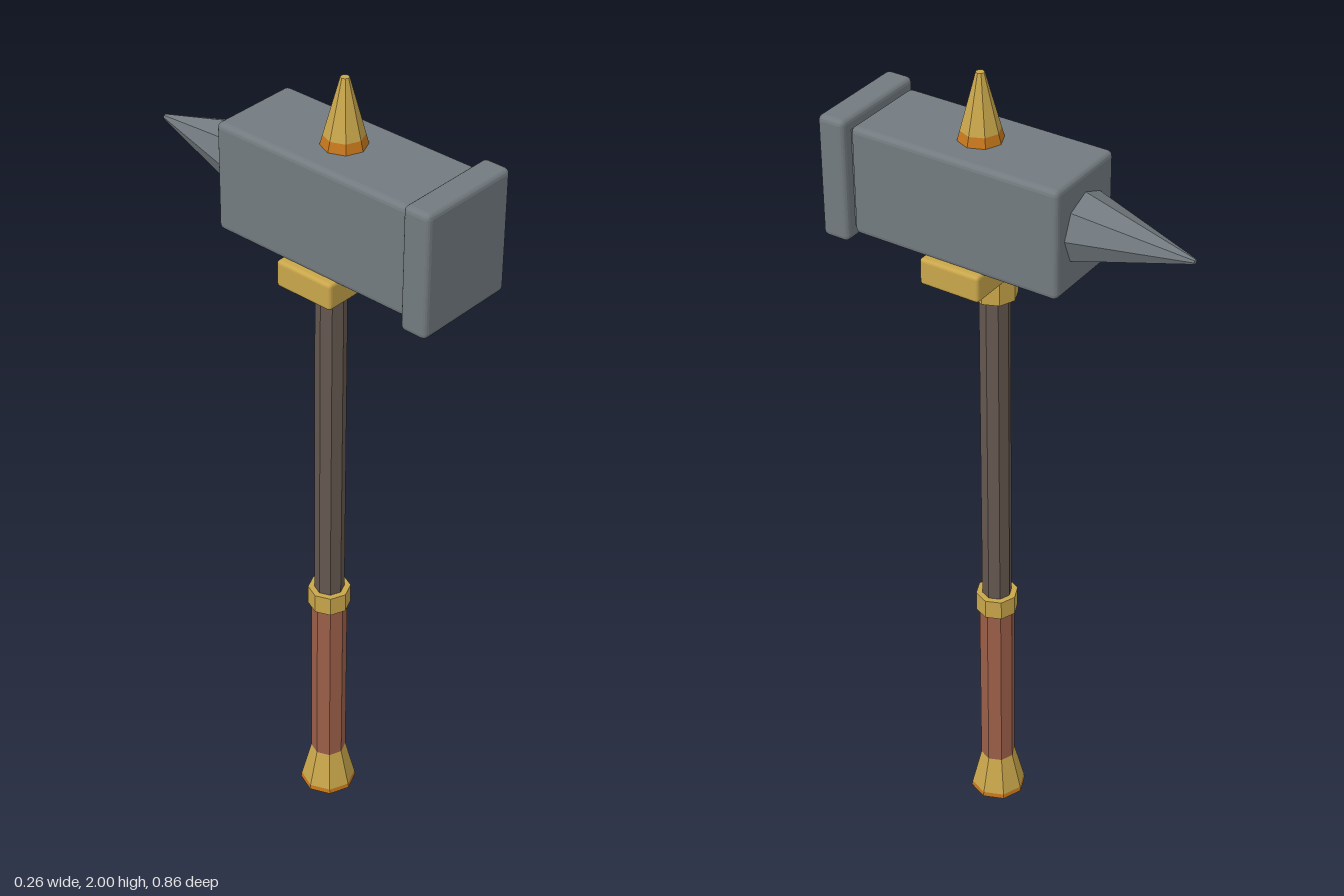
import * as THREE from 'three';
import { RoundedBoxGeometry } from 'three/addons/geometries/RoundedBoxGeometry.js';

const material = (name, color) => {
  const m = new THREE.MeshStandardMaterial({ color, flatShading: true });
  m.name = name;
  return m;
};

export function createModel() {
  const steel = material('steel', 0x737b80);
  const brass = material('brass', 0xc9a64b);
  const amber = material('dark amber', 0xc4761c);
  const wood = material('dark wood', 0x65574f);
  const leather = material('red leather', 0x9c5f49);

  const model = new THREE.Group();
  model.name = 'warHammer';
  const shaftZ = 0.062, headZ = 0.095;

  const add = (name, geometry, mat, x, y, z) => {
    const mesh = new THREE.Mesh(geometry, mat);
    mesh.name = name;
    mesh.position.set(x, y, z);
    model.add(mesh);
    return mesh;
  };
  // Eight-sided upright part between two heights
  const post = (name, y0, y1, r0, r1, mat, z = shaftZ) =>
    add(name, new THREE.CylinderGeometry(r1, r0, y1 - y0, 8), mat, 0, (y0 + y1) / 2, z);
  // Box with softened edges, given by its ranges in y and z
  const block = (name, halfX, y0, y1, z0, z1, bevel, mat) =>
    add(name, new RoundedBoxGeometry(halfX * 2, y1 - y0, z1 - z0, 2, bevel), mat,
      0, (y0 + y1) / 2, (z0 + z1) / 2);

  // Handle, from the pommel upwards
  post('pommelRim', 0, 0.012, 0.069, 0.067, amber);
  post('pommel', 0.012, 0.11, 0.067, 0.043, brass);
  post('grip', 0.1, 0.575, 0.043, 0.043, leather);
  post('shaft', 0.57, 1.5, 0.036, 0.036, wood);
  // Collars have brass sides and an amber underside
  post('lowerCollar', 0.58, 0.63, 0.051, 0.051, [brass, brass, amber]);
  post('upperCollar', 1.47, 1.535, 0.053, 0.053, brass);

  // Bracket under the head
  block('bracket', 0.13, 1.525, 1.59, 0.019, 0.172, 0.008, brass);
  const under = add('bracketUnderside', new THREE.PlaneGeometry(0.246, 0.139), amber, 0, 1.5245, 0.0955);
  under.rotation.x = Math.PI / 2;

  // Hammer head with its striking face
  block('head', 0.112, 1.584, 1.845, -0.167, 0.357, 0.013, steel);
  add('headNeck', new THREE.BoxGeometry(0.2, 0.235, 0.04), steel, 0, 1.715, 0.36);
  block('strikingFace', 0.131, 1.566, 1.862, 0.362, 0.43, 0.013, steel);

  // Long spike at the back
  const backSpike = add('backSpike', new THREE.CylinderGeometry(0.006, 0.083, 0.272, 8), steel,
    0, 1.715, -0.297);
  backSpike.rotation.x = -Math.PI / 2;

  // Short spike on top with a coloured base
  post('topSpikeBase', 1.84, 1.868, 0.053, 0.0455, amber, headZ);
  post('topSpike', 1.868, 2, 0.0455, 0.01, brass, headZ);

  return model;
}
